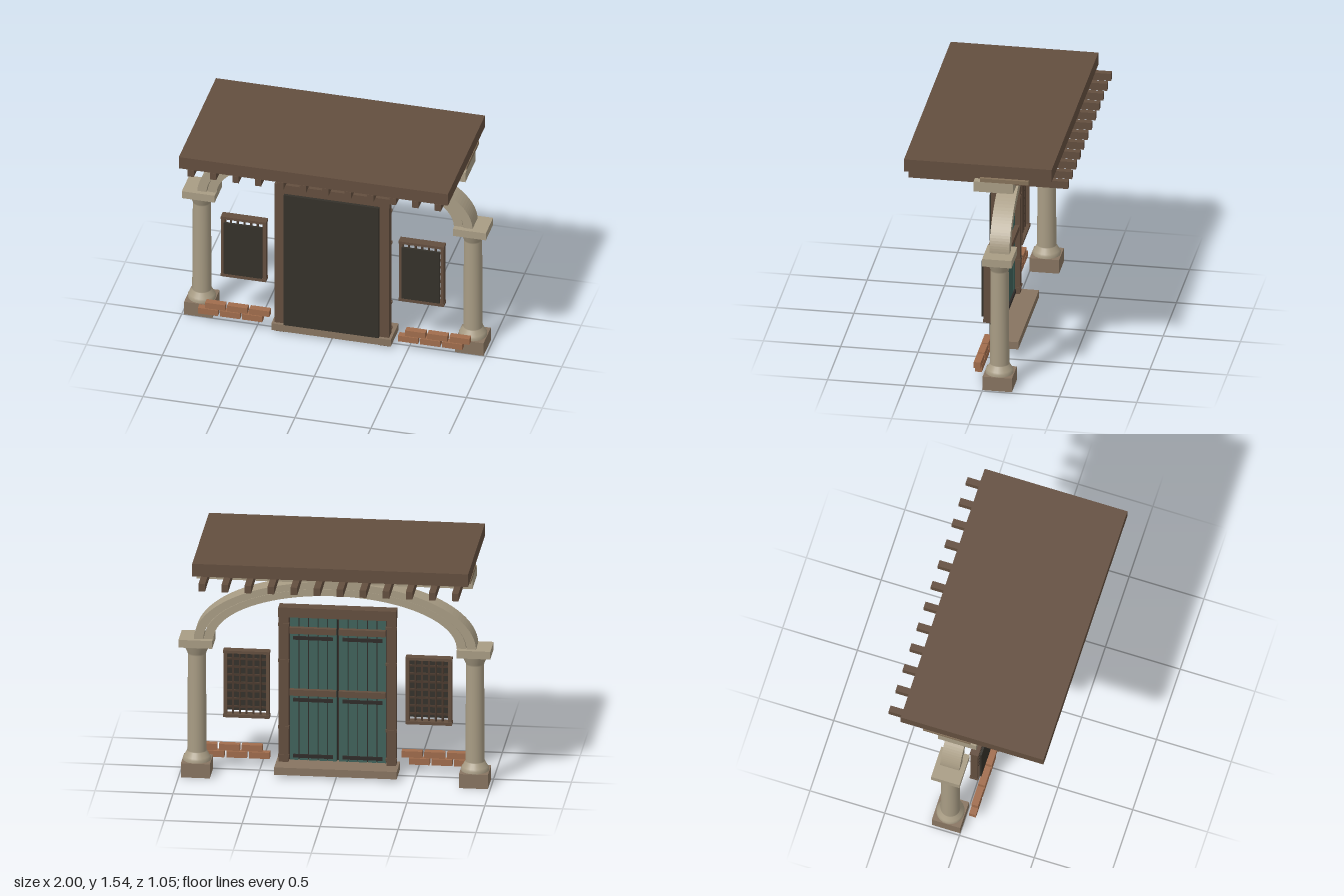
import * as THREE from 'three';

const mat = (color) => new THREE.MeshStandardMaterial({ color });
const M = {
  wood: mat(0x634e3e), stone: mat(0xa89c84), base: mat(0x877460), plate: mat(0x86725a),
  brick: mat(0xa06c4c), teal: mat(0x3f625a), dark: mat(0x34312a), iron: mat(0x2e2a28), lattice: mat(0x4a3a2e),
};

export function createModel() {
  const root = new THREE.Group();

  const add = (name, geo, material, parent = root) => {
    const m = new THREE.Mesh(geo, material);
    m.name = name;
    parent.add(m);
    return m;
  };
  // Box given by its extents on each axis
  const box = (name, material, x0, x1, y0, y1, z0, z1, parent = root) => {
    const m = add(name, new THREE.BoxGeometry(x1 - x0, y1 - y0, z1 - z0), material, parent);
    m.position.set((x0 + x1) / 2, (y0 + y1) / 2, (z0 + z1) / 2);
    return m;
  };
  const group = (name, x = 0) => {
    const g = new THREE.Group();
    g.name = name;
    g.position.x = x;
    root.add(g);
    return g;
  };

  // Roof, rafters and the beams carrying them
  box('roof', M.wood, -0.885, 0.885, 1.455, 1.54, -0.43, 0.525);
  for (let i = 0; i < 12; i++) {
    const x = -0.813 + i * 0.1478;
    box('rafter', M.wood, x - 0.021, x + 0.021, 1.39, 1.44, -0.527, 0.505);
  }
  box('wallPlate', M.plate, -0.885, 0.885, 1.42, 1.445, -0.28, 0.035);
  box('lintel', M.stone, -0.885, 0.885, 1.35, 1.42, -0.18, 0.075);

  // Arch of two concentric elliptical rings
  const ring = (name, ao, bo, ai, bi, z0, z1) => {
    const s = new THREE.Shape();
    s.moveTo(ao, 0);
    s.absellipse(0, 0, ao, bo, 0, Math.PI, false);
    s.lineTo(-ai, 0);
    s.absellipse(0, 0, ai, bi, Math.PI, 0, true);
    s.closePath();
    const geo = new THREE.ExtrudeGeometry(s, { depth: z1 - z0, bevelEnabled: false, curveSegments: 40 });
    add(name, geo, M.stone).position.set(0, 0.93, z0);
  };
  ring('archOuterRing', 0.905, 0.42, 0.845, 0.375, -0.16, -0.03);
  ring('archInnerRing', 0.84, 0.371, 0.78, 0.325, -0.152, -0.038);

  // Columns
  const profile = [
    [0.09, 0.09], [0.09, 0.11], [0.083, 0.122], [0.064, 0.155], [0.062, 0.16],
    [0.058, 0.81], [0.06, 0.822], [0.082, 0.868], [0.084, 0.885],
  ].map(([r, y]) => new THREE.Vector2(r, y));
  for (const s of [-1, 1]) {
    const col = group(s < 0 ? 'rightColumn' : 'leftColumn', s * 0.892);
    box('plinth', M.base, -0.093, 0.093, 0, 0.095, -0.19, 0, col);
    add('shaft', new THREE.LatheGeometry(profile, 24), M.stone, col).position.z = -0.095;
    box('capital', M.stone, -0.108, 0.108, 0.88, 0.932, -0.19, 0, col);
  }

  // Door frame
  box('sill', M.base, -0.393, 0.393, 0.02, 0.07, -0.13, 0.07);
  box('doorHead', M.wood, -0.378, 0.378, 1.055, 1.12, -0.03, 0.05);
  box('doorBacking', M.dark, -0.313, 0.313, 0.07, 1.055, 0.05, 0.07);
  for (const s of [-1, 1]) {
    const post = group('doorPost', s * 0.345);
    box('post', M.wood, -0.031, 0.031, 0.005, 1.056, -0.02, 0.05, post);
    for (const y of [0.11, 0.305, 0.755, 1.0])
      box('postBand', M.wood, -0.036, 0.036, y - 0.008, y + 0.008, -0.024, 0, post);
  }

  // Two plank door leaves with rails and iron straps
  for (const s of [-1, 1]) {
    const leaf = group('doorLeaf', s * 0.158);
    const n = 5, pitch = 0.306 / n;
    for (let i = 0; i < n; i++) {
      const x = -0.153 + i * pitch;
      box('plank', M.teal, x + 0.003, x + pitch - 0.003, 0.075, 1.05, 0.012, 0.04, leaf);
    }
    box('leafBack', M.iron, -0.153, 0.153, 0.075, 1.05, 0.025, 0.05, leaf);
    for (const y of [0.96, 0.54])
      box('rail', M.wood, -0.15, 0.15, y - 0.02, y + 0.02, -0.018, 0.012, leaf);
    for (const y of [0.905, 0.485, 0.105])
      box('strap', M.iron, -0.128, 0.128, y - 0.011, y + 0.011, 0, 0.012, leaf);
  }

  // Latticed windows
  for (const s of [-1, 1]) {
    const win = group(s < 0 ? 'rightWindow' : 'leftWindow', s * 0.585);
    for (const k of [-1, 1])
      box('windowJamb', M.wood, k * 0.136 - 0.011, k * 0.136 + 0.011, 0.365, 0.8, -0.012, 0.036, win);
    box('windowHead', M.wood, -0.149, 0.149, 0.79, 0.808, -0.017, 0.04, win);
    box('windowSill', M.wood, -0.149, 0.149, 0.356, 0.376, -0.017, 0.04, win);
    box('windowBacking', M.dark, -0.126, 0.126, 0.387, 0.773, 0.042, 0.055, win);
    for (let i = 0; i < 5; i++) {
      const x = (i - 2) * 0.044;
      box('verticalBar', M.lattice, x - 0.006, x + 0.006, 0.376, 0.79, 0.004, 0.016, win);
    }
    for (let i = 0; i < 7; i++) {
      const y = 0.583 + (i - 3) * 0.054;
      box('horizontalBar', M.lattice, -0.126, 0.126, y - 0.006, y + 0.006, 0.008, 0.02, win);
    }
  }

  // Two staggered courses of brick on each side
  for (const start of [-0.877, 0.44])
    for (let row = 0; row < 2; row++)
      for (let i = 0; i < 3; i++) {
        const x = start + row * 0.047 + i * 0.1455;
        box('brick', M.brick, x, x + 0.132, 0.068 + row * 0.047, 0.11 + row * 0.047, 0.025, 0.07);
      }

  return root;
}
